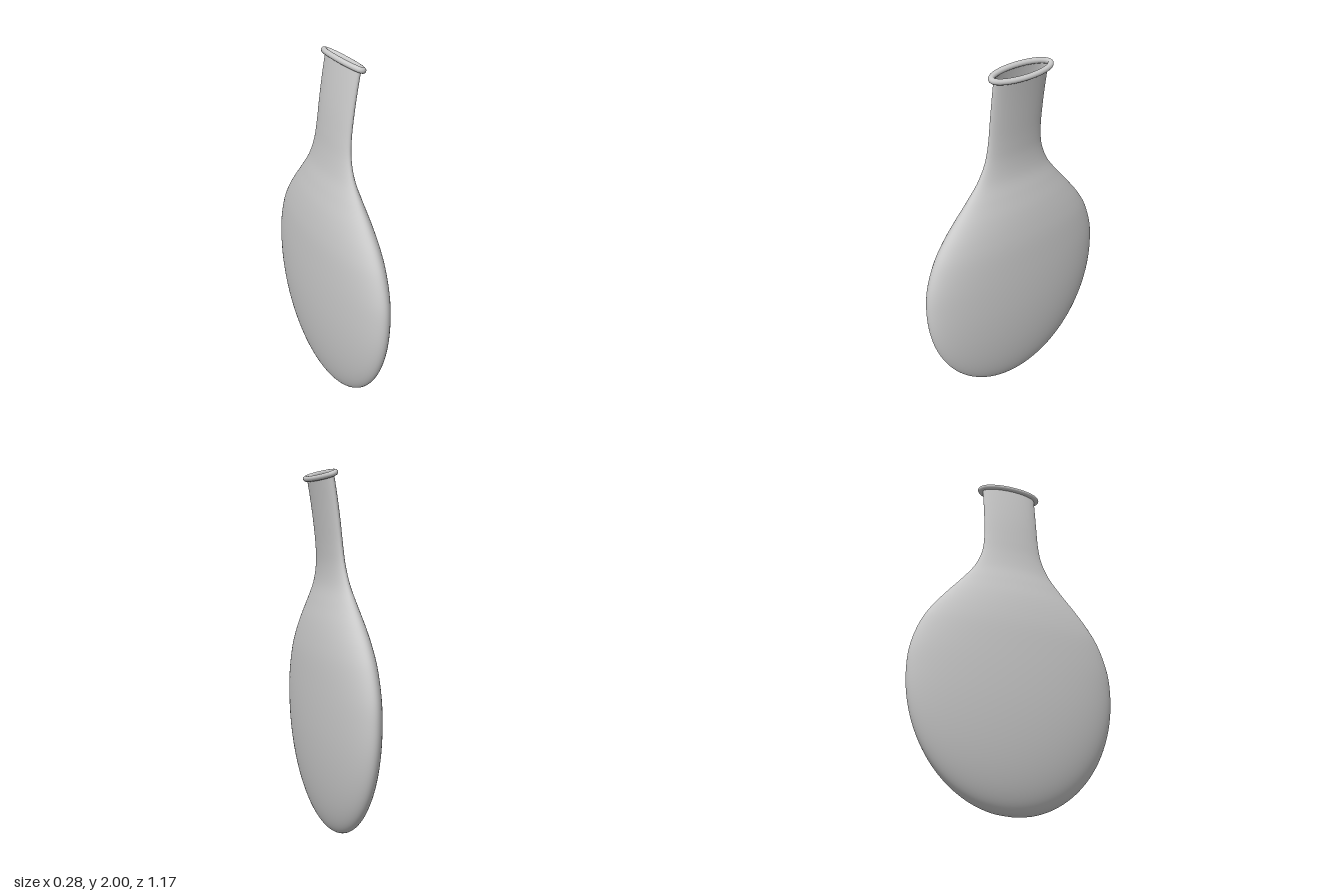
import * as THREE from 'three';

const V = (x, y, z) => new THREE.Vector3(x, y, z);
const TOP = 1.969;

// Forward lean of the neck: sideways shift and tilt of a section at height y
const bend = (y) => {
  const u = Math.max(0, (y - 1.33) / (TOP - 1.33));
  return { shift: 0.065 * u ** 1.8, tilt: 0.38 * u ** 1.5 };
};

// Point on the tilted elliptical section at height y
function sectionPoint(y, rx, rz, angle) {
  const { shift, tilt } = bend(y);
  const r = rx * Math.cos(angle);
  return V(shift + r * Math.cos(tilt), y - r * Math.sin(tilt), rz * Math.sin(angle));
}

// Flattened flask and neck, lofted as one open shell
function flaskGeometry(rows = 120, cols = 96) {
  const profile = [];
  for (let i = 0; i <= 8; i++) {
    const a = (i / 8) * Math.PI / 2;
    profile.push(V(0.14 * Math.sin(a), 0.003 + 0.707 * (1 - Math.cos(a)), 0.583 * Math.sin(a)));
  }
  // half thickness, height, half width
  profile.push(
    V(0.138, 0.85, 0.572), V(0.131, 1.0, 0.523), V(0.12, 1.1, 0.465), V(0.103, 1.2, 0.387),
    V(0.079, 1.3, 0.302), V(0.055, 1.4, 0.227), V(0.044, 1.5, 0.184), V(0.042, 1.6, 0.168),
    V(0.043, 1.75, 0.164), V(0.043, TOP, 0.165));
  const curve = new THREE.CatmullRomCurve3(profile);
  const positions = [], index = [];
  for (let j = 0; j <= rows; j++) {
    const p = curve.getPoint(j / rows);
    for (let i = 0; i < cols; i++) {
      positions.push(...sectionPoint(p.y, p.x, p.z, (i / cols) * Math.PI * 2).toArray());
      if (j === rows) continue;
      const a = j * cols + i, b = j * cols + (i + 1) % cols;
      index.push(a, a + cols, b, b, a + cols, b + cols);
    }
  }
  const geometry = new THREE.BufferGeometry();
  geometry.setAttribute('position', new THREE.Float32BufferAttribute(positions, 3));
  geometry.setIndex(index);
  geometry.computeVertexNormals();
  return geometry;
}

// Rounded bead following the oval mouth
function rimGeometry() {
  const points = [];
  for (let i = 0; i < 48; i++) points.push(sectionPoint(TOP, 0.047, 0.18, (i / 48) * Math.PI * 2));
  return new THREE.TubeGeometry(new THREE.CatmullRomCurve3(points, true), 128, 0.015, 16, true);
}

export function createModel() {
  const group = new THREE.Group();
  group.name = 'flask';
  const material = new THREE.MeshStandardMaterial({ color: 0xcccccc, side: THREE.DoubleSide });
  const add = (name, geometry) => {
    const mesh = new THREE.Mesh(geometry, material);
    mesh.name = name;
    group.add(mesh);
  };
  add('bodyAndNeck', flaskGeometry());
  add('rim', rimGeometry());
  return group;
}
